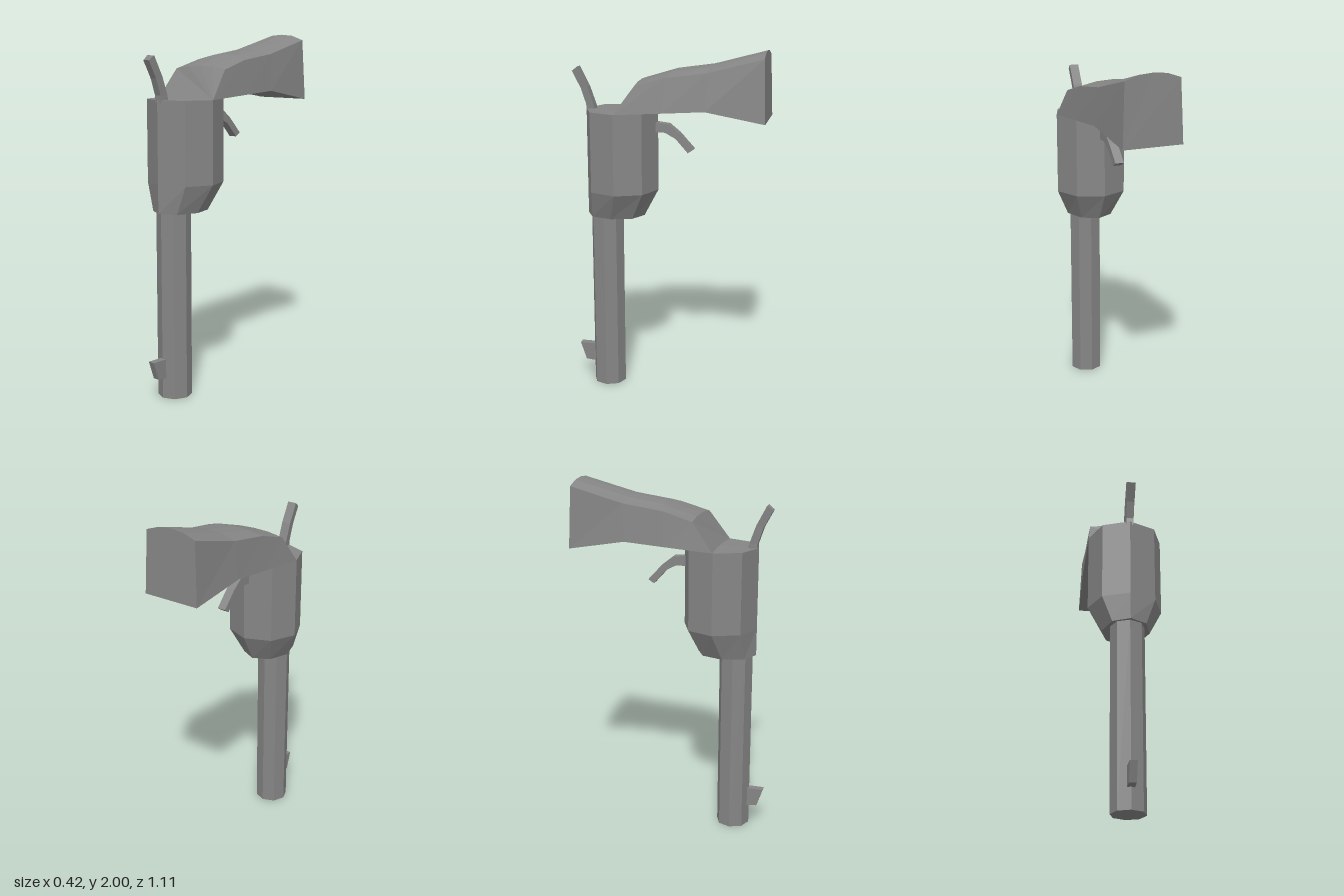
import * as THREE from 'three';

const gunmetal = new THREE.MeshStandardMaterial({ color: 0x858585, flatShading: true });
gunmetal.name = 'gunmetal';

// Skin a closed solid over convex rings of [x, y, z] points
function loft(rings) {
  const n = rings[0].length, last = (rings.length - 1) * n;
  const points = rings.flat();
  const index = [];
  for (let r = 0; r < rings.length - 1; r++) {
    for (let i = 0; i < n; i++) {
      const a = r * n + i, b = r * n + (i + 1) % n;
      index.push(a, b, b + n, a, b + n, a + n);
    }
  }
  for (let i = 1; i < n - 1; i++) {
    index.push(0, i + 1, i, last, last + i, last + i + 1);
  }
  // Turn every face outward, judged by the signed volume
  const v = points.map(p => new THREE.Vector3(...p));
  let volume = 0;
  for (let i = 0; i < index.length; i += 3) {
    volume += v[index[i]].dot(v[index[i + 1]].clone().cross(v[index[i + 2]]));
  }
  if (volume < 0) index.reverse();
  const geometry = new THREE.BufferGeometry().setFromPoints(v);
  geometry.setIndex(index);
  const flat = geometry.toNonIndexed();
  flat.computeVertexNormals();
  return flat;
}

// Curved bar in the middle plane; each step is [outerZ, outerY, innerZ, innerY]
const bar = (steps, outerHalf, innerHalf) => loft(steps.map(([oz, oy, iz, iy]) => [
  [outerHalf, oy, oz], [-outerHalf, oy, oz], [-innerHalf, iy, iz], [innerHalf, iy, iz],
]));

// Eight-sided ring, its top sloping up slightly towards the back by "rise"
const octagon = (y, cz, rx, rz, rise = 0) => Array.from({ length: 8 }, (_, i) => {
  const a = i * Math.PI / 4, dz = rz * Math.cos(a);
  return [rx * Math.sin(a), y + rise * Math.max(0, -dz), cz + dz];
});

// Grip section with a flat bottom and a crowned top
const gripRing = ([bz, by, bw, ez, ey, tw, tz, ty]) => [
  [bw, by, bz], [tw, ey, ez],
  [tw * 0.5, ey + (ty - ey) * 0.8, ez + (tz - ez) * 0.8], [0, ty, tz],
  [-tw * 0.5, ey + (ty - ey) * 0.8, ez + (tz - ez) * 0.8],
  [-tw, ey, ez], [-bw, by, bz],
];

export function createModel() {
  const model = new THREE.Group();
  model.name = 'revolver';
  const add = (name, geometry) => {
    const mesh = new THREE.Mesh(geometry, gunmetal);
    mesh.name = name;
    model.add(mesh);
    return mesh;
  };

  // Barrel, muzzle down
  add('barrel', new THREE.CylinderGeometry(0.095, 0.095, 1.06, 8)).position.set(0, 0.53, 0.366);

  // Chamber body, tapering towards the barrel and straight along its front
  add('chamber', loft([
    octagon(1.045, 0.313, 0.132, 0.167),
    octagon(1.2, 0.272, 0.208, 0.208),
    octagon(1.655, 0.272, 0.208, 0.208, 0.06),
  ]));

  // Grip, with a sloped front face and flared butt
  add('grip', loft([
    [0.27, 1.655, 0.208, 0.155, 1.812, 0.186, 0.155, 1.83],
    [0, 1.671, 0.196, -0.01, 1.86, 0.177, -0.04, 1.89],
    [-0.23, 1.685, 0.185, -0.24, 1.89, 0.168, -0.24, 1.92],
    [-0.555, 1.625, 0.17, -0.542, 1.968, 0.156, -0.54, 2.0],
  ].map(gripRing)));

  // Hammer
  add('hammer', bar([
    [0.475, 1.64, 0.42, 1.64], [0.475, 1.68, 0.43, 1.68],
    [0.505, 1.77, 0.465, 1.78], [0.555, 1.865, 0.522, 1.89],
  ], 0.021, 0.027));

  // Trigger
  add('trigger', bar([
    [0.08, 1.592, 0.08, 1.535], [0, 1.583, 0.02, 1.535],
    [-0.06, 1.535, -0.04, 1.502], [-0.142, 1.445, -0.11, 1.424],
  ], 0.025, 0.025));

  // Front sight
  add('frontSight', bar([
    [0.51, 0.122, 0.44, 0.115], [0.545, 0.226, 0.44, 0.226],
  ], 0.02, 0.02));

  return model;
}
